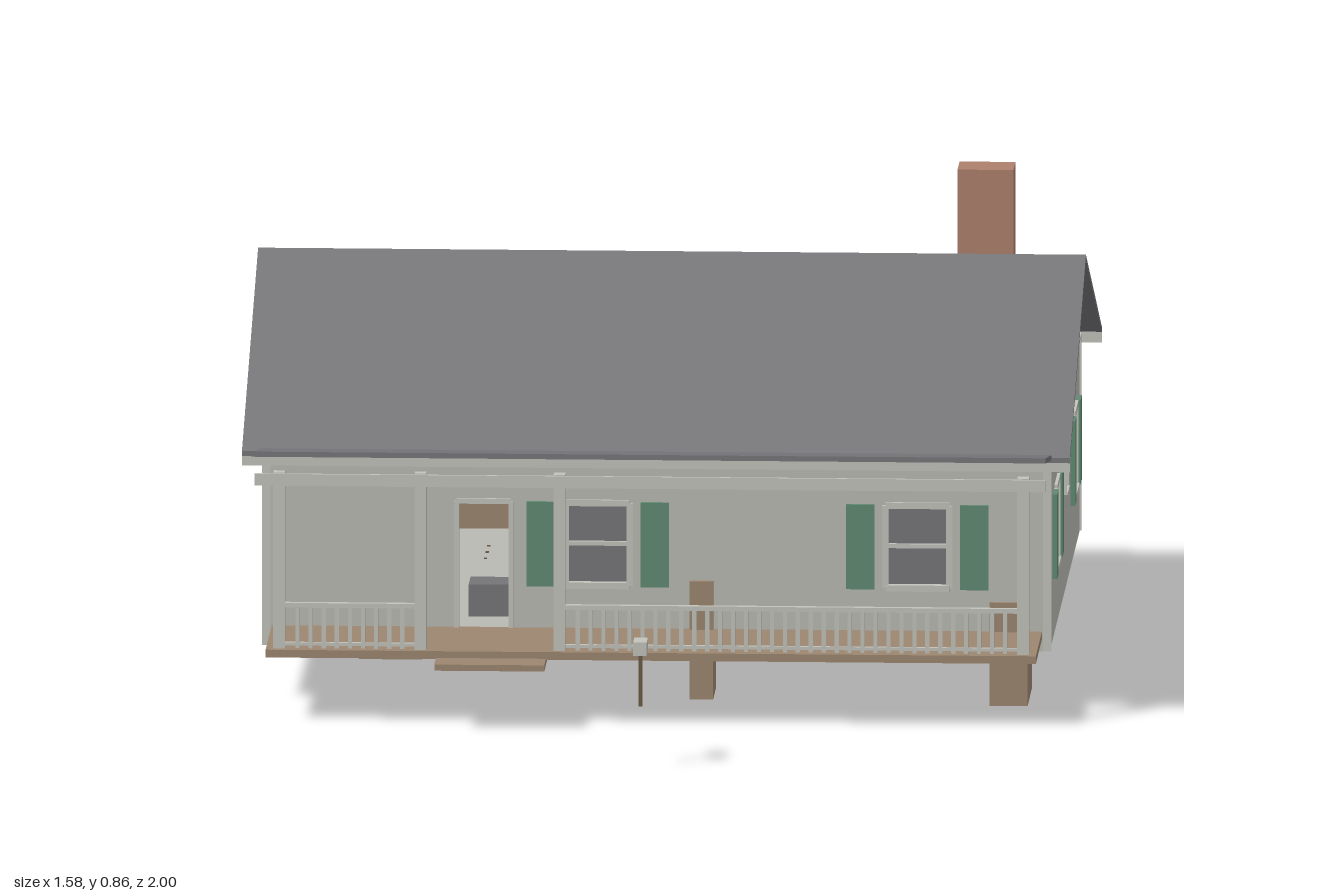
import * as THREE from 'three';

const mat = (name, color, side = THREE.FrontSide) => {
  const m = new THREE.MeshStandardMaterial({ color, side });
  m.name = name;
  return m;
};

export function createModel() {
  const house = new THREE.Group();
  house.name = 'house';
  const siding = mat('siding', 0xb9b9b2);
  const trim = mat('trim', 0xc2c2bb);
  const roofing = mat('roofing', 0x76767a);
  const glass = mat('glass', 0x757578);
  const green = mat('shutterGreen', 0x5f8a70);
  const wood = mat('wood', 0x9c8670);
  const brick = mat('brick', 0xad7f6c);
  const darkWood = mat('darkWood', 0x6b5a45);

  const add = (parent, name, geometry, material) => {
    const mesh = new THREE.Mesh(geometry, material);
    mesh.name = name;
    parent.add(mesh);
    return mesh;
  };
  // Box given by its limits on each axis
  const box = (name, m, x0, x1, y0, y1, z0, z1, parent = house) => {
    const b = add(parent, name, new THREE.BoxGeometry(x1 - x0, y1 - y0, z1 - z0), m);
    b.position.set((x0 + x1) / 2, (y0 + y1) / 2, (z0 + z1) / 2);
    return b;
  };
  const pathOf = (pts, Type) => new Type(pts.map(([x, y]) => new THREE.Vector2(x, y)));
  const rectangle = ([x0, x1, y0, y1]) => [[x0, y0], [x0, y1], [x1, y1], [x1, y0]];

  // Walls with openings
  const T = 0.02, BASE = 0.105, EAVE = 0.485;
  const wall = (name, outline, holes) => {
    const shape = pathOf(outline, THREE.Shape);
    holes.forEach(h => shape.holes.push(pathOf(rectangle(h), THREE.Path)));
    return add(house, name, new THREE.ExtrudeGeometry(shape, { depth: T, bevelEnabled: false }), siding);
  };
  const hole = (c, w = 0.11, y0 = 0.23, y1 = 0.38) => [c - w / 2, c + w / 2, y0, y1];
  const long = [[-0.75, BASE], [0.75, BASE], [0.75, EAVE], [-0.75, EAVE]];
  const frontX = [-0.1125, 0.4975], sideZ = [0.05, -0.70], backX = -0.335;
  wall('frontWall', long, [...frontX.map(c => hole(c)), hole(-0.33, 0.1, 0.14, 0.385)]).position.z = 0.28;
  wall('backWall', long, [hole(backX), hole(0.03, 0.1, 0.12, 0.385)]).position.z = -0.955;
  const gable = [[-0.28, BASE], [0.935, BASE], [0.935, EAVE], [0.325, 0.742], [-0.28, EAVE]];
  for (const s of [-1, 1]) {
    const holes = sideZ.map(z => hole(-z));
    if (s > 0) holes.push(hole(0.325, 0.065, 0.305, 0.37));
    const w = wall(s > 0 ? 'leftWall' : 'rightWall', gable, holes);
    w.rotation.y = Math.PI / 2;
    w.position.x = s > 0 ? 0.75 - T : -0.75;
    box('gableTrim', trim, s * 0.751 - 0.002, s * 0.751 + 0.002, 0.481, 0.487, -0.955, 0.3);
    for (const z of [-0.949, 0.294]) {
      box('cornerBoard', trim, s * 0.745 - 0.008, s * 0.745 + 0.008, BASE, EAVE, z - 0.009, z + 0.009);
    }
  }
  box('floor', siding, -0.735, 0.735, BASE, 0.118, -0.94, 0.285);

  // Windows facing +z before they are turned
  const frame = (g, w, y0, y1, t) => {
    for (const s of [-1, 1]) {
      const x = s * w / 2;
      box('frameSide', trim, x - t / 2, x + t / 2, y0, y1, -0.01, 0.006, g);
    }
    box('frameTop', trim, -w / 2, w / 2, y1 - t / 2, y1 + t / 2, -0.01, 0.006, g);
    box('frameBottom', trim, -w / 2, w / 2, y0 - t / 2, y0 + t / 2, -0.01, 0.008, g);
  };
  const pane = (g, w, y0, y1) => {
    const p = add(g, 'pane', new THREE.PlaneGeometry(w, y1 - y0), glass);
    p.position.set(0, (y0 + y1) / 2, -0.008);
  };
  const windowUnit = (x, z, turn, glazed, small = false) => {
    const g = new THREE.Group();
    g.name = small ? 'smallWindow' : 'window';
    g.position.set(x, 0, z);
    g.rotation.y = turn;
    house.add(g);
    const [w, y0, y1] = small ? [0.07, 0.3, 0.374] : [0.122, 0.226, 0.386];
    frame(g, w, y0, y1, small ? 0.006 : 0.012);
    if (glazed) pane(g, w, y0, y1);
    if (small) return;
    box('sashBar', trim, -w / 2, w / 2, 0.303, 0.311, -0.007, 0.002, g);
    for (const s of [-1, 1]) {
      box('shutter', green, s * 0.109 - 0.027, s * 0.109 + 0.027, 0.224, 0.388, 0, 0.009, g);
    }
  };
  frontX.forEach(x => windowUnit(x, 0.3, 0, true));
  sideZ.forEach(z => {
    windowUnit(0.75, z, Math.PI / 2, true);
    windowUnit(-0.75, z, -Math.PI / 2, false);
  });
  windowUnit(0.75, -0.325, Math.PI / 2, true, true);
  windowUnit(backX, -0.955, Math.PI, false);

  // Door frames
  for (const [name, x, z, turn] of [['frontDoor', -0.33, 0.3, 0], ['backDoor', 0.03, -0.955, Math.PI]]) {
    const g = new THREE.Group();
    g.name = name;
    g.position.set(x, 0, z);
    g.rotation.y = turn;
    house.add(g);
    frame(g, 0.104, 0.13, 0.388, 0.01);
    if (turn) pane(g, 0.1, 0.12, 0.385);
  }

  // Sloping roof slabs drawn in the z-y plane
  const slab = (name, pts, halfWidth) => {
    const geo = new THREE.ExtrudeGeometry(pathOf(pts.map(([z, y]) => [-z, y]), THREE.Shape),
      { depth: halfWidth * 2, bevelEnabled: false });
    geo.rotateY(Math.PI / 2).translate(-halfWidth, 0, 0);
    add(house, name, geo, roofing);
  };
  slab('mainRoof', [[0.34, 0.478], [0.34, 0.488], [-0.33, 0.756], [-1, 0.488], [-1, 0.478], [-0.33, 0.744]], 0.79);
  slab('porchRoof', [[0.577, 0.522], [0.577, 0.532], [0.27, 0.482], [0.27, 0.472]], 0.755);
  box('frontFascia', trim, -0.79, 0.79, 0.46, 0.484, 0.332, 0.338);
  box('backFascia', trim, -0.79, 0.79, 0.46, 0.484, -0.998, -0.992);
  box('porchFascia', trim, -0.755, 0.755, 0.466, 0.489, 0.571, 0.577);
  box('chimney', brick, 0.53, 0.637, 0.55, 0.858, -0.735, -0.652);

  // Porch deck, step, posts and railing
  box('porchDeck', wood, -0.735, 0.735, 0.128, 0.143, 0.298, 0.552);
  box('porchStep', wood, -0.41, -0.2, 0.118, 0.13, 0.5, 0.62);
  [-0.71, -0.44, -0.175, 0.71].forEach(x =>
    box('porchPost', trim, x - 0.011, x + 0.011, 0.143, 0.485, 0.518, 0.54));
  for (const [a, b] of [[-0.7, -0.45], [-0.165, 0.7]]) {
    box('topRail', trim, a, b, 0.222, 0.231, 0.523, 0.535);
    box('bottomRail', trim, a, b, 0.148, 0.154, 0.525, 0.533);
    const n = Math.round((b - a) / 0.025);
    for (let i = 1; i < n; i++) {
      const x = a + (b - a) * i / n;
      box('baluster', trim, x - 0.004, x + 0.004, 0.143, 0.224, 0.525, 0.533);
    }
  }

  // Mailbox
  box('mailboxPost', darkWood, -0.004, 0.004, 0.12, 0.225, 0.971, 0.979);
  box('mailbox', trim, -0.013, 0.013, 0.222, 0.248, 0.95, 1);

  // Furniture, reaching below the floor
  const furniture = [
    ['cabinet', wood, 0.063, 0.108, 0.008, 0.237, 0.2, 0.311],
    ['frontWardrobe', wood, 0.635, 0.708, 0, 0.2, 0.12, 0.308],
    ['backWardrobe', wood, 0.635, 0.708, 0.003, 0.2, -0.635, -0.49],
    ['counter', wood, -0.51, -0.11, 0.073, 0.17, -0.92, -0.84],
    ['fridge', trim, -0.6, -0.51, 0.015, 0.23, -0.915, -0.83],
    ['bathtub', trim, 0.62, 0.7, 0.092, 0.14, -0.46, -0.26],
    ['frontBed', wood, 0.38, 0.62, 0.09, 0.14, -0.12, 0.04],
    ['backBed', wood, 0.38, 0.62, 0.09, 0.14, -0.86, -0.72],
    ['frontNightstand', wood, 0.415, 0.535, 0.07, 0.15, 0.06, 0.11],
    ['bedsideTable', wood, 0.6, 0.66, 0.073, 0.15, -0.25, -0.2],
    ['dresser', wood, 0.34, 0.4, 0.085, 0.16, -0.62, -0.56],
    ['console', wood, -0.57, -0.45, 0.073, 0.16, 0.22, 0.27],
    ['sofa', green, -0.68, -0.46, 0.098, 0.16, -0.1, 0],
    ['armchair', glass, -0.37, -0.27, 0.1, 0.18, -0.02, 0.06],
  ];
  furniture.forEach(f => box(...f));
  const leg = (x, z, y) => box('furnitureLeg', darkWood, x - 0.003, x + 0.003, y, 0.12, z - 0.003, z + 0.003);
  for (let i = 0; i < 4; i++) {
    for (let j = 0; j < 3; j++) leg(-0.2 - i * 0.055, -0.66 + j * 0.065, 0.07);
  }
  [[-0.64, -0.145], [-0.375, -0.145], [-0.225, -0.145], [-0.64, 0.03], [-0.5, 0.1], [-0.58, 0.14]]
    .forEach(([x, z], i) => leg(x, z, i < 3 ? 0.035 : 0.075));
  box('lampBase', darkWood, -0.655, -0.625, 0.035, 0.04, -0.16, -0.13);

  return house;
}
